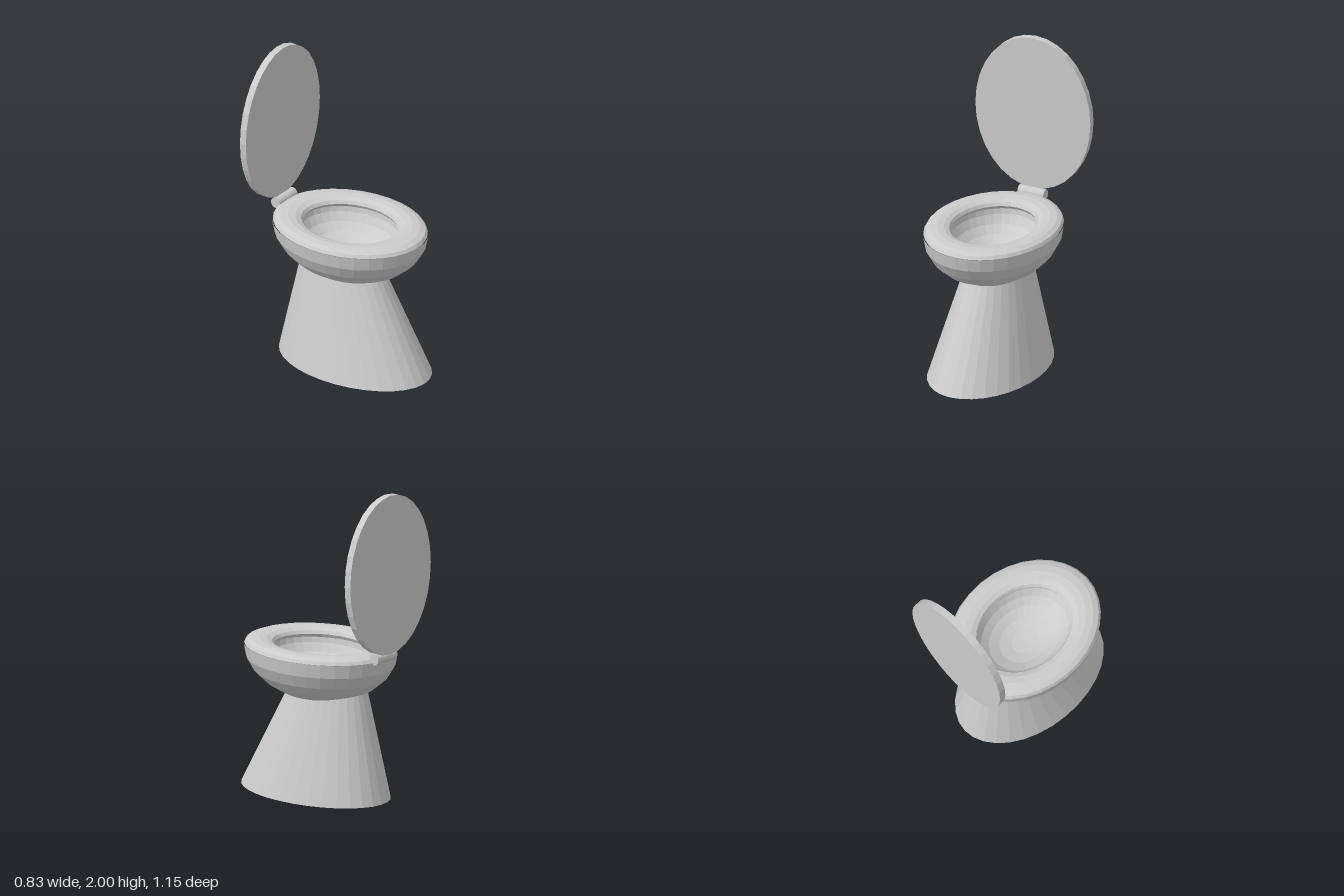
import * as THREE from 'three';

const SIDES = 32;
const RIM_Y = 0.93;

export function createModel() {
  const model = new THREE.Group();
  model.name = 'toilet';
  const material = new THREE.MeshStandardMaterial({ color: 0xcccccc, flatShading: true });

  function add(name, geometry, x, y, z) {
    const mesh = new THREE.Mesh(geometry, material);
    mesh.name = name;
    mesh.position.set(x, y, z);
    model.add(mesh);
    return mesh;
  }

  // Lower half of an ellipsoid, facing outwards or (inside = true) inwards
  function halfEllipsoid(rx, ry, rz, inside) {
    const profile = [];
    for (let i = 0; i <= 6; i++) {
      const a = (i / 6) * Math.PI / 2;
      profile.push(new THREE.Vector2(Math.sin(a), -Math.cos(a)));
    }
    if (inside) profile.reverse();
    return new THREE.LatheGeometry(profile, SIDES).scale(rx, ry, rz);
  }

  // Pedestal: elliptical cone, its top leaning towards the back
  const height = 0.705;
  const pedestal = new THREE.CylinderGeometry(0.5, 1, height, SIDES);
  pedestal.scale(0.345, 1, 0.535).translate(0, height / 2, 0);
  const pos = pedestal.attributes.position;
  for (let i = 0; i < pos.count; i++) pos.setZ(i, pos.getZ(i) - 0.157 * pos.getY(i));
  pedestal.computeVertexNormals();
  add('pedestal', pedestal, 0, 0, 0.04);

  // Bowl shell and the basin inside it
  add('bowl', halfEllipsoid(0.415, 0.335, 0.522, false), 0, RIM_Y, 0);
  add('basin', halfEllipsoid(0.272, 0.22, 0.34, true), 0, RIM_Y, 0);

  // Seat: flattened oval ring covering the rim
  const seat = new THREE.TorusGeometry(0.33, 0.08, 12, SIDES);
  seat.rotateX(Math.PI / 2).scale(1, 0.5, 1.26);
  add('seat', seat, 0, RIM_Y, 0);

  // Hinge bar
  const hinge = new THREE.CylinderGeometry(0.035, 0.035, 0.18, 16).rotateZ(Math.PI / 2);
  add('hinge', hinge, 0.002, 0.955, -0.514);

  // Raised oval lid, slightly twisted on its hinge
  const lid = new THREE.CylinderGeometry(1, 1, 0.045, SIDES);
  lid.rotateX(Math.PI / 2).scale(0.396, 0.51, 1);
  add('lid', lid, -0.002, 1.49, -0.545).rotation.y = 0.031;

  return model;
}
